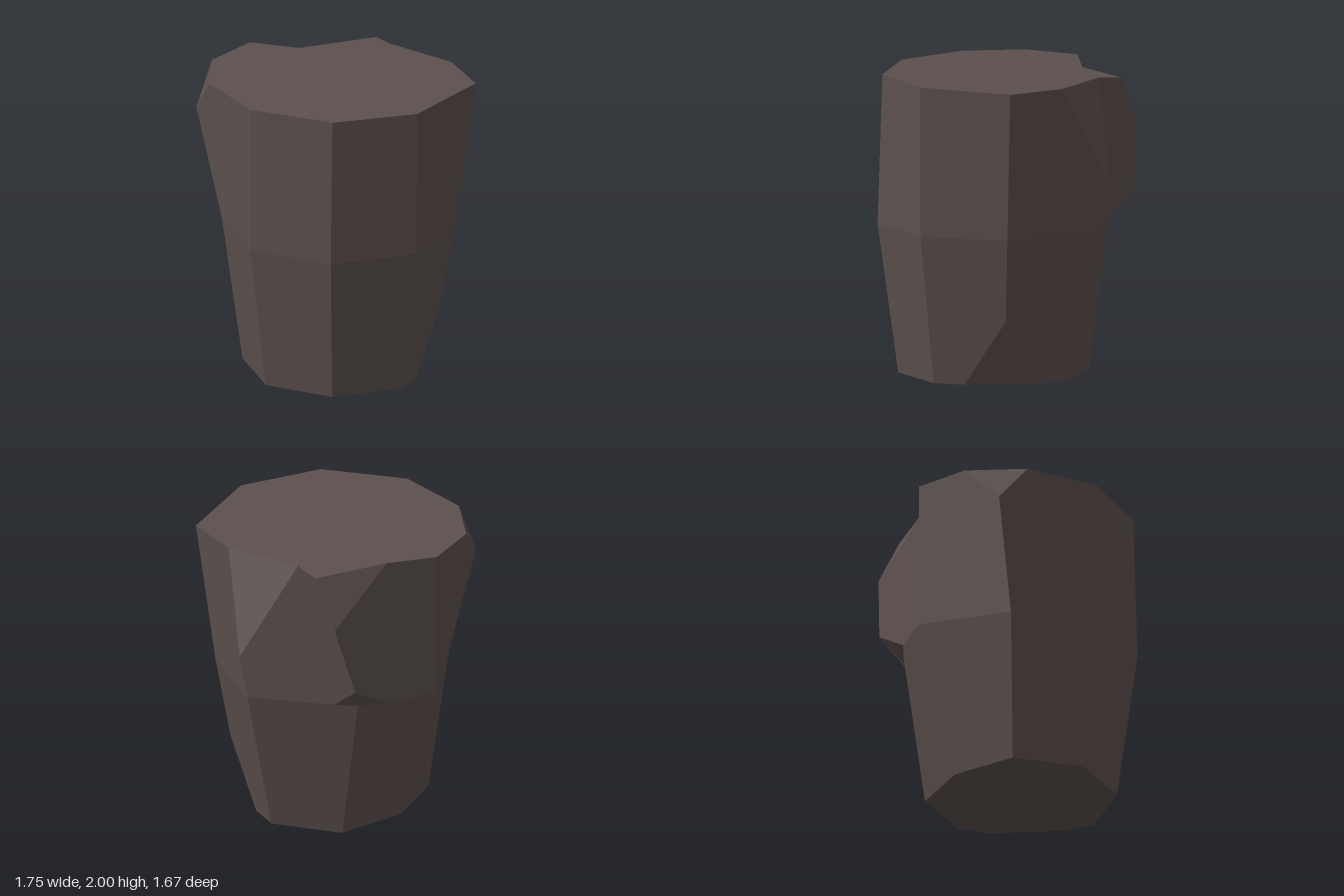
import * as THREE from 'three';

export function createModel() {
  const stone = new THREE.MeshStandardMaterial({ color: 0x5c504e });
  stone.name = 'dark brown stone';

  // Octagonal rings, counterclockwise from the front corner, as [x, z]
  const ring = (y, pts) => pts.map(([x, z]) => [x, y, z]);
  const b = ring(0, [[-0.1, 0.69], [0.38, 0.5], [0.54, 0.05], [0.35, -0.4],
    [-0.1, -0.52], [-0.547, -0.4], [-0.74, 0.05], [-0.55, 0.5]]);
  const m = ring(1, [[-0.1, 0.83], [0.45, 0.6], [0.79, 0.05], [0.38, -0.557],
    [-0.1, -0.83], [-0.643, -0.498], [-0.875, 0.05], [-0.648, 0.595]]);
  const t = ring(2, [[-0.1, 0.835], [0.545, 0.69], [0.87, 0.05], [0.63, -0.565],
    [-0.1, -0.835], [-0.72, -0.665], [-0.875, 0.05], [-0.62, 0.58]]);
  m[2][1] = 1.03;

  // Corners broken below the rim
  t[2][1] = 1.36;
  t[3][1] = 1.65;
  t[5][1] = 1.76;

  // Chip at the foot of the front left corner
  const foot = { a: [0.095, 0, 0.61], b: [0.455, 0, 0.25], tip: [0.38, 0.44, 0.53] };
  // Chips along the rim
  const sideA = [0.672, 2, 0.305], sideB = [0.58, 2, -0.21];
  const rearA = [0.62, 1.98, -0.39], rearB = [0.13, 1.97, -0.6];
  const cornerA = [-0.49, 2, -0.77], cornerB = [-0.78, 2, -0.47];
  // Overhanging ledge at the rear left corner
  const ledgeA = [0.485, 1.01, -0.44], ledgeB = [0.22, 1, -0.7], ledgeTip = [0.52, 1.18, -0.65];

  const group = new THREE.Group();
  group.name = 'stoneBlock';

  // Each polygon is a fan from its first corner, shaded with one mean normal
  function addPart(name, polygons) {
    const pos = [], nor = [];
    for (const polygon of polygons) {
      const p = polygon.map((c) => new THREE.Vector3(...c));
      const normal = new THREE.Vector3();
      for (let i = 1; i < p.length - 1; i++) {
        const edge = p[i].clone().sub(p[0]);
        normal.add(edge.cross(p[i + 1].clone().sub(p[0])));
        pos.push(...p[0], ...p[i], ...p[i + 1]);
      }
      normal.normalize();
      for (let i = 0; i < (p.length - 2) * 3; i++) nor.push(...normal);
    }
    const geo = new THREE.BufferGeometry();
    geo.setAttribute('position', new THREE.Float32BufferAttribute(pos, 3));
    geo.setAttribute('normal', new THREE.Float32BufferAttribute(nor, 3));
    const mesh = new THREE.Mesh(geo, stone);
    mesh.name = name;
    group.add(mesh);
  }
  const quad = (lo, hi, i) => [lo[i], lo[(i + 1) % 8], hi[(i + 1) % 8], hi[i]];

  // Tapered lower walls
  addPart('lowerWalls', [
    [foot.tip, m[1], m[0], b[0], foot.a],
    [m[2], m[1], foot.tip, foot.b, b[2]],
    [m[2], b[2], b[3], m[3], ledgeA],
    [b[4], m[4], ledgeB, m[3], b[3]],
    ...[4, 5, 6, 7].map((i) => quad(b, m, i)),
  ]);

  // Upright upper walls
  addPart('upperWalls', [
    quad(m, t, 0),
    [m[1], m[2], t[2], sideA, t[1]],
    [m[2], ledgeA, ledgeTip, t[3], rearA, sideB, t[2]],
    [m[4], t[4], rearB, t[3], ledgeTip, ledgeB],
    [m[4], m[5], t[5], cornerA, t[4]],
    [m[5], m[6], t[6], cornerB, t[5]],
    quad(m, t, 6),
    quad(m, t, 7),
  ]);

  // Chipped faces and the underside of the ledge
  addPart('chips', [
    [foot.a, foot.b, foot.tip],
    [t[2], sideB, sideA],
    [t[3], rearB, rearA],
    [t[5], cornerB, cornerA],
    [ledgeTip, ledgeA, m[3], ledgeB],
  ]);

  // Top and base
  const rim = [t[0], t[1], sideA, sideB, rearA, rearB, t[4], cornerA, cornerB, t[6], t[7]];
  addPart('top', [[[-0.1, 2, 0], ...rim, rim[0]]]);
  const sole = [b[0], foot.a, foot.b, ...b.slice(2)].reverse();
  addPart('base', [[[-0.1, 0, 0], ...sole, sole[0]]]);

  return group;
}
